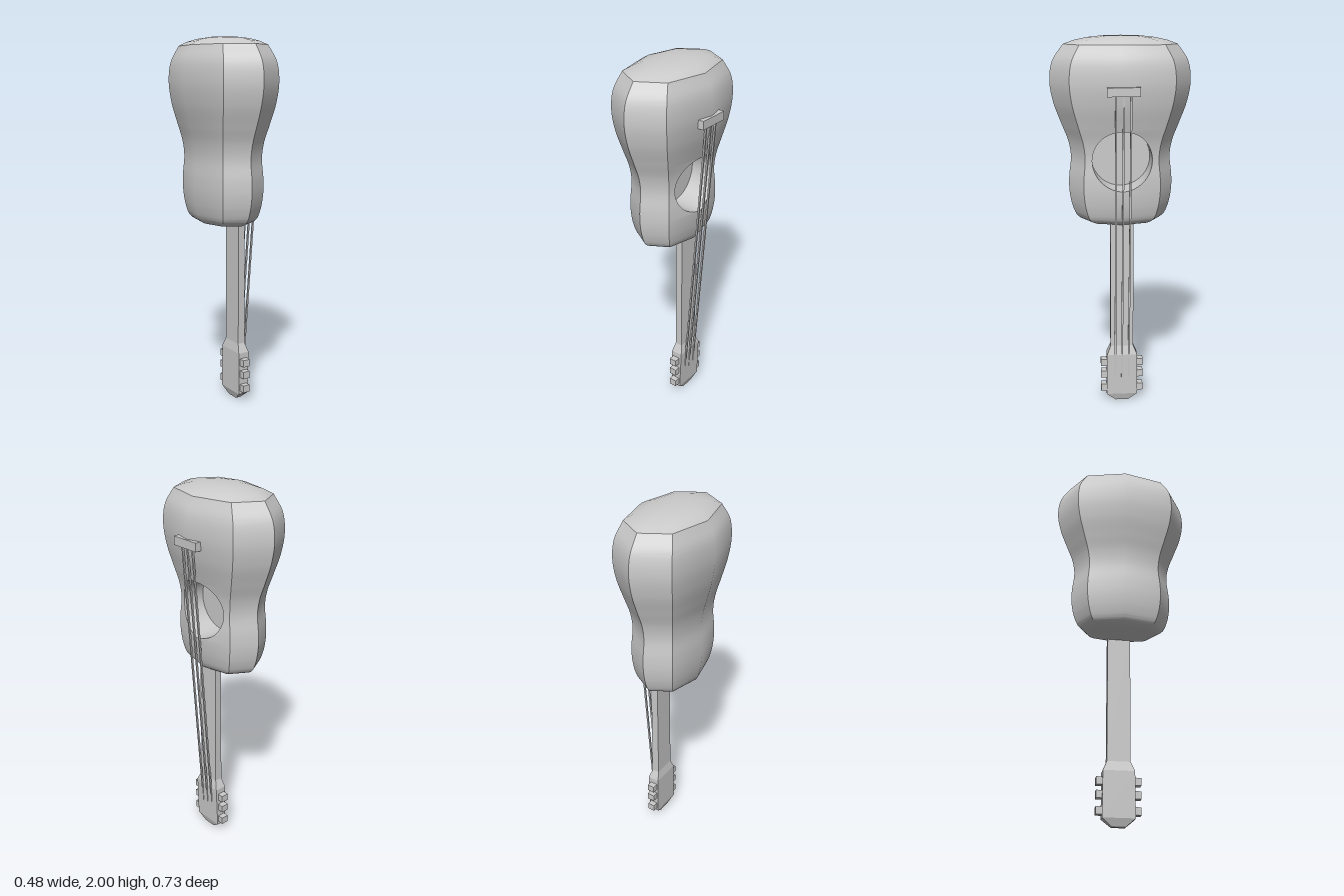
import * as THREE from 'three';
import { toCreasedNormals } from 'three/addons/utils/BufferGeometryUtils.js';

const CX = -0.005;                       // body axis
const HOLE = { y: 1.375, r: 0.155, floor: 0 };
const material = new THREE.MeshStandardMaterial({ color: 0xcccccc });
const doubleMaterial = new THREE.MeshStandardMaterial({ color: 0xcccccc, side: THREE.DoubleSide });

// Joins equal-length rows of points into a surface with creased normals.
function loft(rows, crease, closed = false) {
  const positions = [];
  const tri = (a, b, c) => {
    if (a.distanceTo(b) > 1e-5 && b.distanceTo(c) > 1e-5 && c.distanceTo(a) > 1e-5) {
      for (const p of [a, b, c]) positions.push(p.x, p.y, p.z);
    }
  };
  for (let i = 0; i < rows.length - 1; i++) {
    const n = rows[i].length;
    for (let j = 0; j < (closed ? n : n - 1); j++) {
      const k = (j + 1) % n;
      const a = rows[i][j], b = rows[i][k], c = rows[i + 1][j], d = rows[i + 1][k];
      tri(a, c, b);
      tri(b, c, d);
    }
  }
  const geometry = new THREE.BufferGeometry();
  geometry.setAttribute('position', new THREE.Float32BufferAttribute(positions, 3));
  return toCreasedNormals(geometry, crease);
}

function add(parent, name, geometry, mat = material) {
  const mesh = new THREE.Mesh(geometry, mat);
  mesh.name = name;
  parent.add(mesh);
  return mesh;
}

function box(parent, name, size, position) {
  const mesh = add(parent, name, new THREE.BoxGeometry(...size));
  mesh.position.set(...position);
  return mesh;
}

// Half width (along z) of the body at each height, bottom to shoulder edge.
const outline = new THREE.CatmullRomCurve3([
  [0, 1.018], [0.1, 1.02], [0.185, 1.031], [0.23, 1.056], [0.256, 1.11], [0.272, 1.19],
  [0.273, 1.27], [0.262, 1.38], [0.274, 1.46], [0.308, 1.55], [0.348, 1.66],
  [0.366, 1.77], [0.351, 1.87], [0.295, 1.955],
].map(([w, y]) => new THREE.Vector3(w, y, 0)), false, 'centripetal').getPoints(130);

function widthAt(y) {
  for (let i = 1; i < outline.length; i++) {
    const a = outline[i - 1], b = outline[i];
    if (y <= b.y && b.y > a.y) return THREE.MathUtils.mapLinear(y, a.y, b.y, a.x, b.x);
  }
  return outline[outline.length - 1].x;
}

// Eight-sided section; its two ends slide apart along the front to leave the hole.
function section(width, y, gap = 0) {
  const k = width / 0.366;
  const X = 0.235 * k, D = 0.17 * k, E = 0.266 * k;
  const front = X - ((0.235 - 0.17) / 0.266) * gap;
  return [
    [front, gap], [D, E], [0, width], [-D, E], [-X, 0], [-D, -E], [0, -width], [D, -E], [front, -gap],
  ].map(([x, z]) => new THREE.Vector3(x + CX, y, z));
}

function addBody(parent) {
  const bottom = HOLE.y - HOLE.r, top = HOLE.y + HOLE.r;
  const holeRows = [];
  const steps = 32;
  for (let i = 0; i <= steps; i++) {
    const t = (i / steps) * Math.PI;
    const y = HOLE.y - HOLE.r * Math.cos(t);
    const gap = i % steps === 0 ? 0 : HOLE.r * Math.sin(t);
    holeRows.push(section(widthAt(y), y, gap));
  }
  const plain = (test) => outline.filter(test).map((p) => section(p.x, p.y));
  const rows = [
    ...plain((p) => p.y < bottom - 0.003),
    ...holeRows,
    ...plain((p) => p.y > top + 0.003),
    // Domed end
    ...[[0.24, 1.975], [0.175, 1.989], [0.1, 1.997], [0, 2]].map(([w, y]) => section(w, y)),
  ];
  add(parent, 'body', loft(rows, 0.6));

  // Recess behind the round sound hole
  const rim = [
    ...holeRows.map((r) => r[0]),
    ...holeRows.slice(1, -1).reverse().map((r) => r[8]),
  ];
  const base = rim.map((p) => new THREE.Vector3(HOLE.floor, p.y, p.z));
  add(parent, 'soundHoleWall', loft([rim, base], 0.6, true), doubleMaterial);
  const floor = add(parent, 'soundHoleFloor', new THREE.CircleGeometry(HOLE.r, 64));
  floor.rotation.y = Math.PI / 2;
  floor.position.set(HOLE.floor, HOLE.y, 0);
}

// Neck and head: rectangular sections [y, back x, front x, half width].
function addNeck(parent) {
  const rows = [
    [0.003, 0.08, 0.08, 0], [0.003, 0.065, 0.095, 0.035], [0.045, 0.05, 0.108, 0.085],
    [0.285, 0.05, 0.116, 0.083], [0.335, 0.06, 0.102, 0.062], [1.055, 0.06, 0.1, 0.062],
    [1.055, 0.08, 0.08, 0],
  ].map(([y, back, front, w]) => [
    [front, -w], [front, w], [back, w], [back, -w],
  ].map(([x, z]) => new THREE.Vector3(x, y, z)));
  add(parent, 'neck', loft(rows, 0.1, true));
}

function addString(parent, z) {
  const start = new THREE.Vector3(0.224, 1.73, z * 1.02);
  const end = new THREE.Vector3(0.108, 0.15, z);
  const string = box(parent, 'string', [0.009, 0.009, start.distanceTo(end)], [0, 0, 0]);
  string.position.copy(start).add(end).multiplyScalar(0.5);
  string.lookAt(end);
}

export function createModel() {
  const model = new THREE.Group();
  model.name = 'guitar';
  addBody(model);
  addNeck(model);
  box(model, 'bridge', [0.034, 0.045, 0.166], [0.223, 1.733, 0]);
  for (const z of [-0.037, 0, 0.037]) addString(model, z);
  // Tuning pegs on both sides of the head
  for (const side of [-1, 1]) {
    for (const y of [0.233, 0.164, 0.083]) {
      box(model, 'tuningPeg', [0.042, 0.04, 0.05], [0.08, y, side * 0.091]);
    }
  }
  return model;
}
